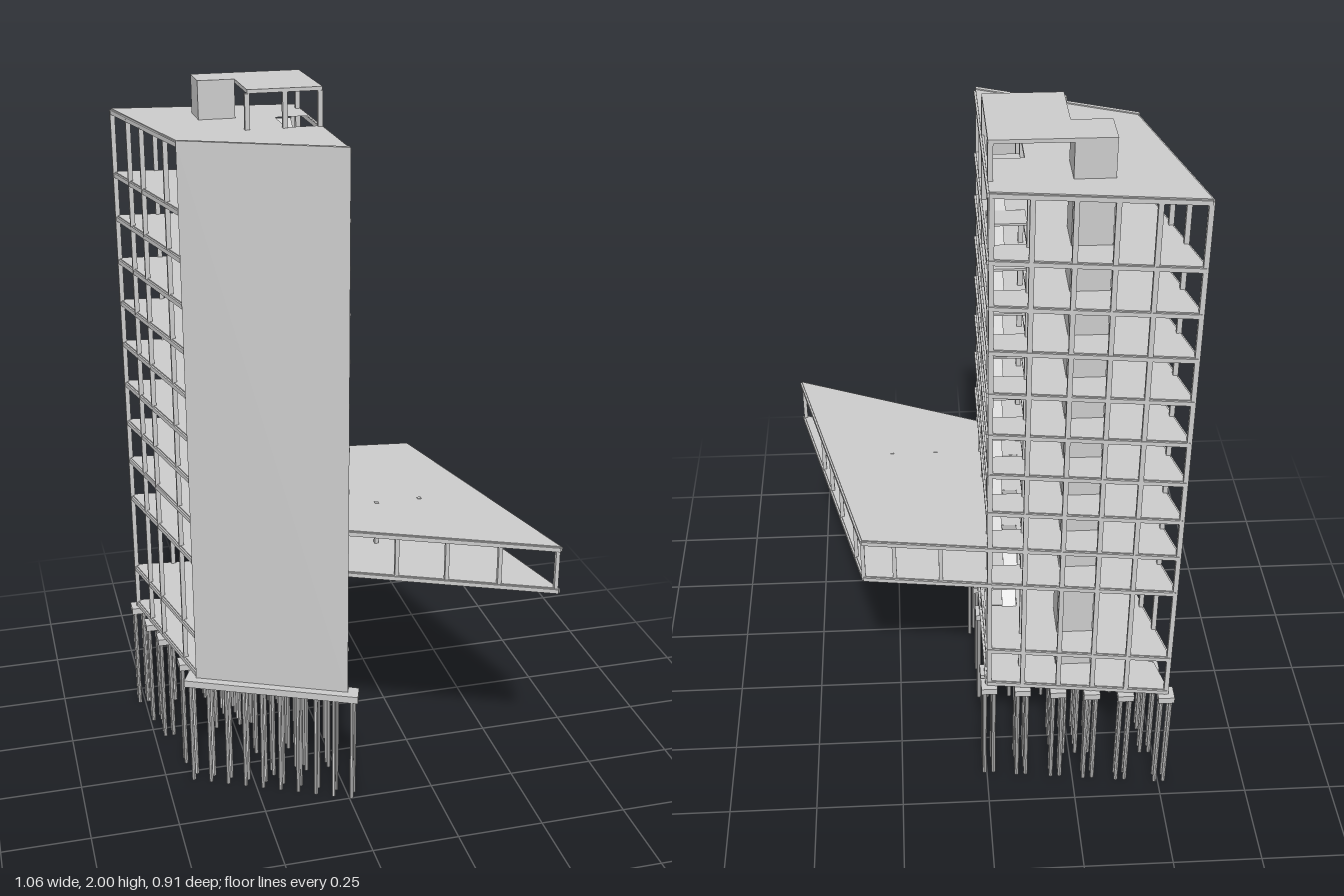
import * as THREE from 'three';

const mat = new THREE.MeshStandardMaterial({ color: 0xcccccc, flatShading: true });

// Plan outlines as [x, z]
const tower = [[-0.505, -0.438], [0, -0.375], [0, 0.215], [-0.398, 0.035]];
const wing = [[0, -0.375], [0.335, -0.33], [0.525, 0.452], [0, 0.215]];
const rect = (x0, x1, z0, z1) => [[x0, z0], [x1, z0], [x1, z1], [x0, z1]];

export function createModel() {
  const root = new THREE.Group();
  const group = (name) => {
    const g = new THREE.Group();
    g.name = name;
    root.add(g);
    return g;
  };
  const add = (parent, name, geo) => {
    const m = new THREE.Mesh(geo, mat);
    m.name = name;
    parent.add(m);
    return m;
  };
  // Flat plate with a plan outline and optional openings
  const plate = (parent, name, pts, y0, y1, holes = []) => {
    const flat = (p) => p.map(([x, z]) => new THREE.Vector2(x, -z));
    const shape = new THREE.Shape(flat(pts));
    holes.forEach((h) => shape.holes.push(new THREE.Path(flat(h))));
    const geo = new THREE.ExtrudeGeometry(shape, { depth: y1 - y0, bevelEnabled: false });
    geo.rotateX(-Math.PI / 2);
    geo.translate(0, y0, 0);
    return add(parent, name, geo);
  };
  const post = (parent, name, x, z, y0, y1, s = 0.013) =>
    add(parent, name, new THREE.BoxGeometry(s, y1 - y0, s)).position.set(x, (y0 + y1) / 2, z);
  // Horizontal beam between two plan points
  const beam = (parent, name, [x0, z0], [x1, z1], y, w = 0.01, h = 0.012) => {
    const m = add(parent, name, new THREE.BoxGeometry(Math.hypot(x1 - x0, z1 - z0), h, w));
    m.position.set((x0 + x1) / 2, y, (z0 + z1) / 2);
    m.rotation.y = -Math.atan2(z1 - z0, x1 - x0);
  };
  // Where a grid line (axis 0: x = v, axis 1: z = v) crosses an outline
  const cross = (pts, axis, v) => {
    const hits = [];
    pts.forEach((a, i) => {
      const b = pts[(i + 1) % pts.length];
      if ((a[axis] - v) * (b[axis] - v) >= 0) return;
      const t = (v - a[axis]) / (b[axis] - a[axis]);
      hits.push([a[0] + (b[0] - a[0]) * t, a[1] + (b[1] - a[1]) * t]);
    });
    return hits;
  };
  // Slab with edge beams and ribs below
  const floor = (parent, name, pts, y, xs, zs, holes) => {
    plate(parent, name + 'Slab', pts, y, y + 0.007, holes);
    pts.forEach((a, i) => beam(parent, name + 'EdgeBeam', a, pts[(i + 1) % pts.length], y - 0.002));
    [xs, zs].forEach((lines, axis) => lines.forEach((v) => {
      const h = cross(pts, axis, v);
      if (h.length === 2) beam(parent, name + 'Rib', h[0], h[1], y - 0.003, 0.008, 0.009);
    }));
  };

  // Tower floors
  const floors = group('towerFloors');
  const levels = [0.355, 0.48, 0.72, 0.845, 0.967, 1.09, 1.215, 1.34, 1.465, 1.59, 1.715, 1.89];
  levels.forEach((y, i) => {
    const turned = i === 1 || i === levels.length - 1;
    const well = turned ? rect(-0.095, -0.006, -0.2, -0.065) : rect(-0.095, -0.006, -0.305, -0.13);
    floor(floors, 'floor', tower, y, [-0.2, -0.1], [-0.32, -0.06, 0.065], i ? [well] : []);
  });

  // Cantilevered wing
  const wingGroup = group('cantileverWing');
  [0.72, 0.845].forEach((y) =>
    floor(wingGroup, 'wing', wing, y, [0.125, 0.25, 0.38], [-0.25, -0.06, 0.065, 0.17], []));
  const wingPosts = [[0.335, -0.325], [0.355, -0.24], [0.397, -0.06], [0.427, 0.065], [0.453, 0.17],
    [0.519, 0.444], [0.38, 0.381], [0.25, 0.322], [0.125, 0.266], [0.125, -0.352], [0.25, -0.336],
    [0.125, 0.065], [0.25, 0.065], [0.125, -0.06], [0.25, -0.06]];
  wingPosts.forEach(([x, z], i) =>
    post(wingGroup, 'wingColumn', x, z, 0.72, i === 11 || i === 12 ? 0.854 : 0.845, 0.011));

  // Tower columns, on small footings with four piles each
  const columns = group('towerColumns');
  const base = group('foundation');
  const pile = (x, z) =>
    add(base, 'pile', new THREE.CylinderGeometry(0.006, 0.006, 0.33, 8)).position.set(x, 0.165, z);
  const towerPosts = [[-0.503, -0.434], [-0.39, -0.421], [-0.295, -0.409], [-0.2, -0.397],
    [-0.1, -0.385], [-0.006, -0.372], [-0.476, -0.318], [-0.454, -0.222], [-0.416, -0.062],
    [-0.2, -0.06], [-0.1, -0.06], [-0.006, -0.06], [-0.006, -0.315], [-0.1, -0.315],
    [-0.006, 0.065], [-0.1, 0.065], [-0.2, 0.065]];
  towerPosts.forEach(([x, z], i) => {
    const penthouse = i >= 9 && i <= 12;
    post(columns, 'column', x, z, 0.345, penthouse ? 1.99 : 1.89);
    add(base, 'footing', new THREE.BoxGeometry(0.046, 0.02, 0.046)).position.set(x, 0.335, z);
    for (const dx of [-0.013, 0.013]) for (const dz of [-0.013, 0.013]) pile(x + dx, z + dz);
  });

  // Front wall and its strip footing on paired piles
  plate(root, 'frontWall', [[-0.398, 0.033], [0, 0.213], [0, 0.227], [-0.404, 0.042]], 0.34, 1.9);
  plate(base, 'wallFooting', [[-0.415, -0.005], [0.037, 0.213], [0.02, 0.262], [-0.441, 0.05]], 0.325, 0.346);
  for (let i = 0; i < 10; i++) {
    const t = i / 9;
    const x = -0.414 + 0.428 * t, z = 0.027 + 0.206 * t;
    pile(x - 0.007, z + 0.014);
    pile(x + 0.007, z - 0.014);
  }

  // Lift core and its footing
  plate(root, 'liftCore', rect(-0.3, -0.2, -0.32, -0.217), 0.345, 1.992);
  plate(base, 'coreFooting', rect(-0.32, -0.18, -0.335, -0.2), 0.325, 0.345);
  for (let i = 0; i < 4; i++) for (let j = 0; j < 4; j++) pile(-0.305 + i * 0.037, -0.322 + j * 0.036);

  // Penthouse roof
  plate(root, 'penthouseRoof',
    [[-0.3, -0.322], [0, -0.322], [0, -0.055], [-0.2, -0.055], [-0.2, -0.217], [-0.3, -0.217]], 1.99, 2);

  // Stairs: each run is a list of [z, y] turning points, flights on alternating sides
  const stairs = group('stairs');
  const flight = (x, [z0, y0], [z1, y1]) => {
    const m = add(stairs, 'flight', new THREE.BoxGeometry(0.04, 0.006, Math.hypot(z1 - z0, y1 - y0)));
    m.position.set(x, (y0 + y1) / 2, (z0 + z1) / 2);
    m.rotation.x = -Math.atan2(y1 - y0, z1 - z0);
  };
  const run = (pts) => pts.forEach((p, i) => {
    if (i) flight(i % 2 ? -0.073 : -0.028, pts[i - 1], p);
    if (i && i < pts.length - 1) {
      const back = p[0] < -0.2;
      plate(stairs, 'landing', rect(-0.095, -0.006, back ? -0.31 : -0.13, back ? -0.24 : -0.055),
        p[1] - 0.003, p[1] + 0.003);
    }
  });
  run([[-0.2, 0.36], [-0.13, 0.423], [-0.21, 0.483]]);
  run([[-0.205, 0.483], [-0.13, 0.565], [-0.245, 0.645], [-0.13, 0.723]]);
  for (let i = 2; i < 10; i++) {
    const a = levels[i] + 0.003, b = levels[i + 1] + 0.003;
    run([[-0.13, a], [-0.24, (a + b) / 2], [-0.13, b]]);
  }
  run([[-0.13, 1.718], [-0.24, 1.777], [-0.13, 1.837], [-0.2, 1.893]]);

  return root;
}
